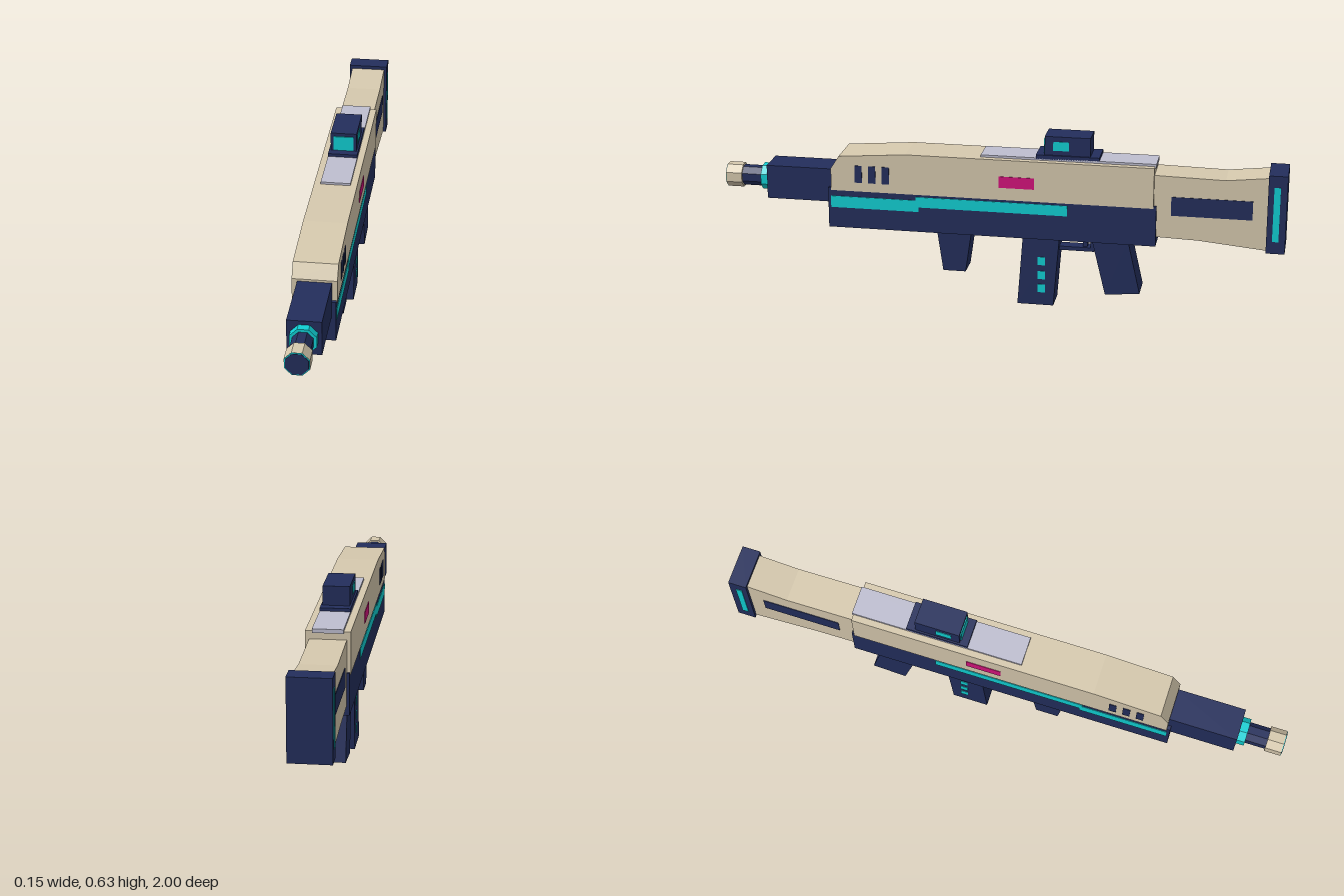
import * as THREE from 'three';

const mat = (name, color) => {
  const m = new THREE.MeshStandardMaterial({ color, flatShading: true });
  m.name = name;
  return m;
};

export function createModel() {
  const cream = mat('cream', 0xd6c9ae);
  const navy = mat('navy', 0x232e5c);
  const teal = mat('teal', 0x10d0d4);
  const magenta = mat('magenta', 0xd4127c);
  const silver = mat('silver', 0xbebed0);
  const group = new THREE.Group();

  const add = (name, geometry, material) => {
    const mesh = new THREE.Mesh(geometry, material);
    mesh.name = name;
    group.add(mesh);
    return mesh;
  };

  // Side outline of [z, y] points, extruded across x
  const slab = (name, points, halfWidth, material) => {
    const shape = new THREE.Shape(points.map(([z, y]) => new THREE.Vector2(z, y)));
    const g = new THREE.ExtrudeGeometry(shape, { depth: halfWidth * 2, bevelEnabled: false });
    g.translate(0, 0, -halfWidth).rotateY(-Math.PI / 2);
    return add(name, g, material);
  };

  // Box given by half width and its z and y ranges
  const block = (name, halfWidth, z0, z1, y0, y1, material) => {
    const g = new THREE.BoxGeometry(halfWidth * 2, y1 - y0, Math.abs(z1 - z0));
    return add(name, g.translate(0, (y0 + y1) / 2, (z0 + z1) / 2), material);
  };

  // Thin painted plate on both sides at x = +-side
  const plates = (name, side, z0, z1, y0, y1, material) => {
    for (const s of [-1, 1]) {
      block(name, 0.002, z0, z1, y0, y1, material).position.x = s * side;
    }
  };

  // Octagonal barrel section, flat side up
  const axisY = 0.409;
  const octagon = (name, apothem, z0, z1, material) => {
    const r = apothem / Math.cos(Math.PI / 8);
    const g = new THREE.CylinderGeometry(r, r, z1 - z0, 8);
    g.rotateY(Math.PI / 8).rotateX(Math.PI / 2).translate(0, axisY, (z0 + z1) / 2);
    return add(name, g, material);
  };

  // Receiver
  slab('upperBody', [[0.6, 0.395], [0.6, 0.475], [0.57, 0.522], [0.33, 0.541],
    [-0.545, 0.541], [-0.545, 0.395]], 0.075, cream);
  block('lowerBody', 0.072, -0.555, 0.612, 0.256, 0.402, navy);
  block('topRail', 0.052, -0.55, 0.065, 0.535, 0.549, silver);
  plates('frontStripe', 0.072, 0.285, 0.602, 0.331, 0.373, teal);
  plates('rearStripe', 0.072, -0.245, 0.295, 0.348, 0.386, teal);
  plates('sideMarker', 0.075, -0.128, -0.003, 0.44, 0.481, magenta);
  for (let i = 0; i < 3; i++) {
    const z = 0.5 - i * 0.049;
    plates('vent', 0.075, z - 0.013, z + 0.013, 0.428, 0.491, navy);
  }

  // Barrel
  block('barrelShroud', 0.057, 0.59, 0.84, 0.345, 0.467, navy);
  octagon('barrelCollar', 0.044, 0.83, 0.868, teal);
  octagon('barrel', 0.034, 0.85, 0.95, navy);
  octagon('muzzle', 0.041, 0.94, 0.997, cream);
  octagon('muzzleRing', 0.0405, 0.99, 0.9985, teal);
  octagon('muzzleFace', 0.037, 0.99, 1.0, navy);

  // Stock
  slab('stock', [[-0.53, 0.513], [-0.79, 0.508], [-0.94, 0.525],
    [-0.94, 0.262], [-0.7, 0.284], [-0.53, 0.289]], 0.062, cream);
  block('buttPad', 0.072, -1, -0.935, 0.256, 0.537, navy);
  plates('stockPanel', 0.062, -0.885, -0.605, 0.37, 0.438, navy);
  plates('buttStripe', 0.072, -0.977, -0.955, 0.3, 0.496, teal);

  // Grips and magazine
  slab('foregrip', [[0.225, 0.26], [0.203, 0.107], [0.122, 0.107], [0.1, 0.26]], 0.046, navy);
  slab('magazine', [[-0.085, 0.26], [-0.066, 0], [-0.195, 0], [-0.215, 0.26]], 0.049, navy);
  for (const y of [0.166, 0.113, 0.063]) {
    plates('magazineLight', 0.049, -0.165, -0.138, y - 0.015, y + 0.015, teal);
  }
  slab('rearGrip', [[-0.33, 0.26], [-0.38, 0.056], [-0.502, 0.068], [-0.458, 0.26]], 0.053, navy);

  // Trigger and its guard
  block('guardBar', 0.022, -0.335, -0.2, 0.203, 0.217, navy);
  block('guardPost', 0.022, -0.335, -0.322, 0.203, 0.26, navy);
  block('trigger', 0.01, -0.31, -0.294, 0.217, 0.26, navy);

  // Optical sight
  block('sightBase', 0.052, -0.352, -0.13, 0.545, 0.56, navy);
  block('sightBody', 0.046, -0.32, -0.16, 0.555, 0.627, navy);
  block('sightLens', 0.035, -0.162, -0.156, 0.562, 0.615, teal);
  plates('sightWindow', 0.046, -0.245, -0.19, 0.577, 0.609, teal);

  return group;
}
